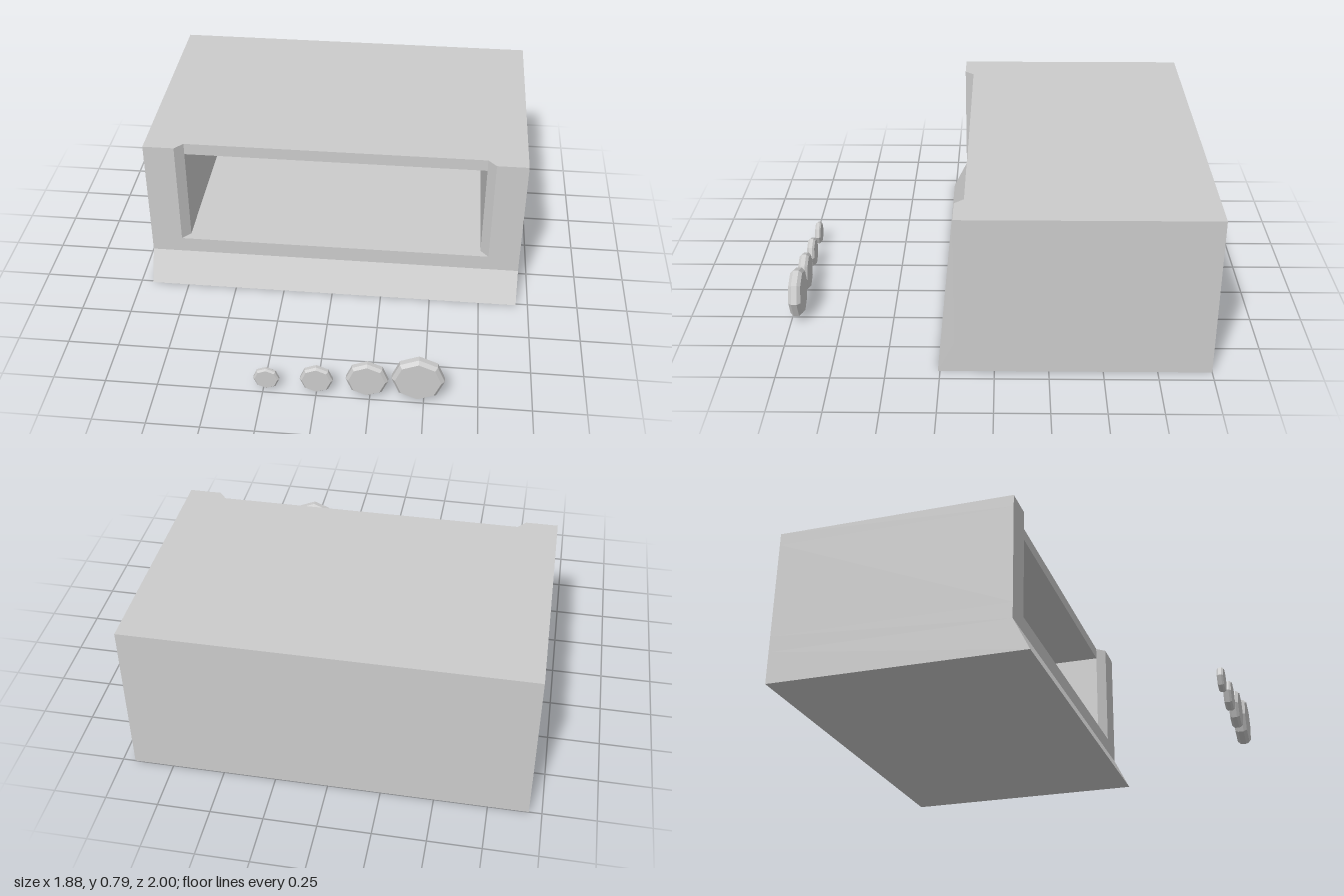
import * as THREE from 'three';

const material = new THREE.MeshStandardMaterial({ color: 0xcccccc, flatShading: true });

const W = 0.94, BACK = -1, FRONT = 0.18;          // outer half width and depth
const IN = 0.745, OUT = 0.785, RECESS = 0.135;    // opening: inner and outer half width, set-back
const CAVITY_BACK = -0.94;

function add(group, name, geometry) {
  const mesh = new THREE.Mesh(geometry, material);
  mesh.name = name;
  group.add(mesh);
  return mesh;
}

// Plan outline given as [x, z] corners, raised from y0 to y1
function slab(points, y0, y1, hole) {
  const toPlan = (list) => list.map(([x, z]) => new THREE.Vector2(x, -z));
  const shape = new THREE.Shape(toPlan(points));
  if (hole) shape.holes.push(new THREE.Path(toPlan(hole)));
  return new THREE.ExtrudeGeometry(shape, { depth: y1 - y0, bevelEnabled: false })
    .rotateX(-Math.PI / 2)
    .translate(0, y0, 0);
}

export function createModel() {
  const model = new THREE.Group();
  model.name = 'openFrontCabinet';

  const cabinet = new THREE.Group();
  cabinet.name = 'cabinet';
  model.add(cabinet);

  // Base with sloping front lip: side profile swept across the width
  const side = new THREE.Shape([[BACK, 0], [0.26, 0], [FRONT, 0.16], [BACK, 0.16]]
    .map(([z, y]) => new THREE.Vector2(-z, y)));
  add(cabinet, 'baseWithLip',
    new THREE.ExtrudeGeometry(side, { depth: 2 * W, bevelEnabled: false })
      .rotateY(Math.PI / 2).translate(-W, 0, 0));

  // Band around the sunken floor, its front forming the sill
  add(cabinet, 'sillBand', slab(
    [[-W, BACK], [W, BACK], [W, FRONT], [-W, FRONT]], 0.16, 0.24,
    [[-IN, CAVITY_BACK], [IN, CAVITY_BACK], [IN, RECESS], [-IN, RECESS]]));

  // Side and back walls with chamfered jambs
  add(cabinet, 'walls', slab([
    [-W, BACK], [W, BACK], [W, FRONT], [OUT, FRONT], [IN, RECESS], [IN, CAVITY_BACK],
    [-IN, CAVITY_BACK], [-IN, RECESS], [-OUT, FRONT], [-W, FRONT],
  ], 0.24, 0.73));

  // Roof, notched above the opening
  add(cabinet, 'roof', slab([
    [-W, BACK], [W, BACK], [W, FRONT], [OUT, FRONT], [IN, RECESS],
    [-IN, RECESS], [-OUT, FRONT], [-W, FRONT],
  ], 0.73, 0.79));

  // Row of bevelled eight-sided discs growing in size: [x, y, radius]
  const discs = new THREE.Group();
  discs.name = 'discs';
  model.add(discs);
  const profile = [[0, -0.24], [0.87, -0.24], [1, -0.11], [1, 0.11], [0.87, 0.24], [0, 0.24]]
    .map(([r, h]) => new THREE.Vector2(r, h));
  const discGeometry = new THREE.LatheGeometry(profile, 8).rotateX(Math.PI / 2);
  [[-0.235, 0.065, 0.061], [0, 0.081, 0.077], [0.235, 0.104, 0.098], [0.47, 0.128, 0.122]]
    .forEach(([x, y, r], i) => {
      const disc = add(discs, `disc${i + 1}`, discGeometry);
      disc.position.set(x, y, 0.97);
      disc.scale.setScalar(r);
    });

  return model;
}
